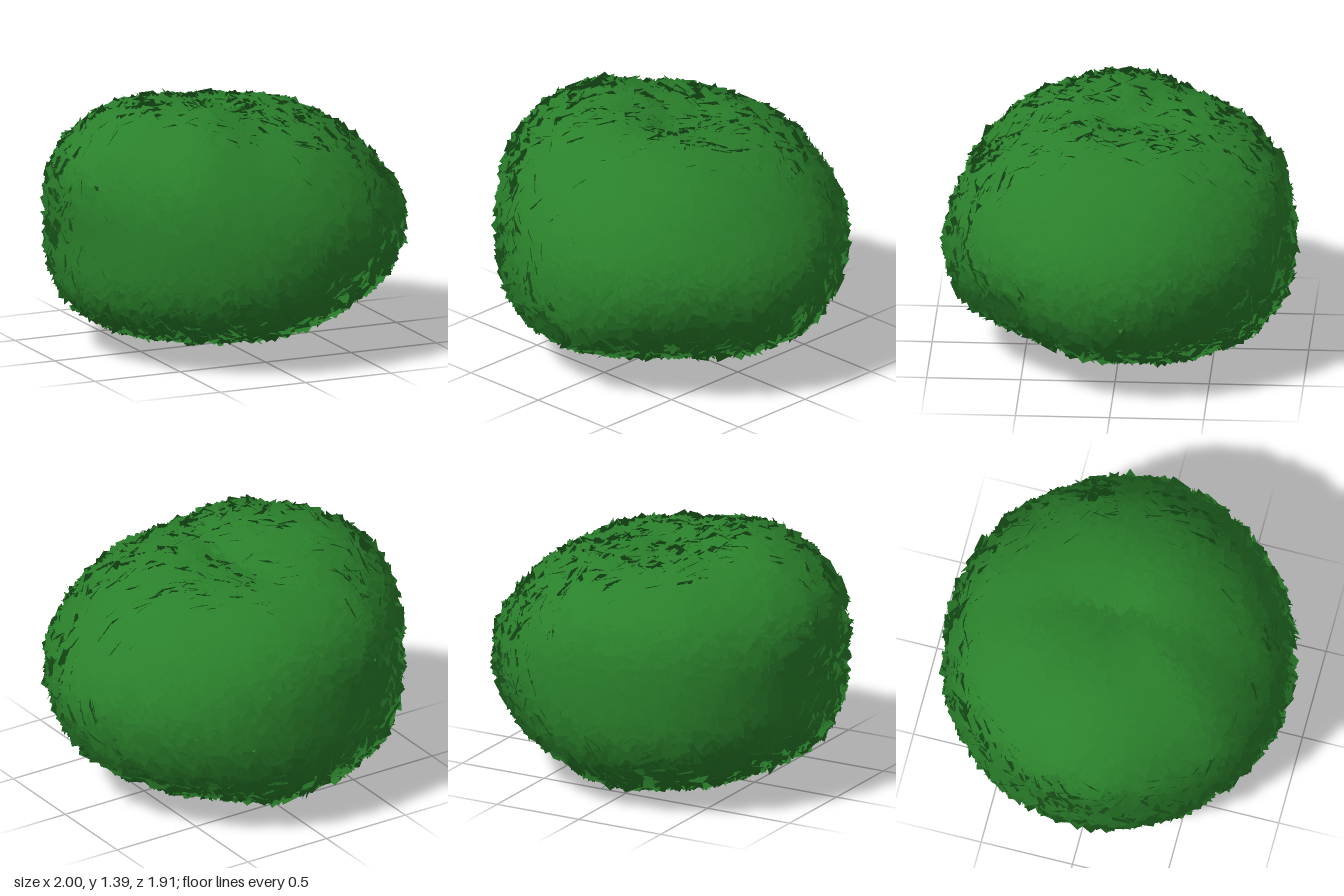
import * as THREE from 'three';

// small seeded generator
let seed = 7;
function rnd() {
  seed = (seed * 1664525 + 1013904223) % 4294967296;
  return seed / 4294967296;
}

// crown outline: radius from the crown centre, by elevation from -90 to 90 degrees,
// every 45 degrees around from left (+x) through front (+z)
const CENTRE = new THREE.Vector3(0, 0.7, 0);
const outline = [
  [0.60, 0.66, 0.76, 0.94, 0.98, 0.86, 0.75, 0.66, 0.58], // left
  [0.60, 0.63, 0.72, 0.86, 0.94, 0.86, 0.77, 0.68, 0.58], // front left
  [0.60, 0.62, 0.76, 0.93, 0.93, 0.86, 0.77, 0.69, 0.58], // front
  [0.60, 0.63, 0.78, 0.93, 0.93, 0.94, 0.87, 0.74, 0.58], // front right
  [0.60, 0.64, 0.80, 0.96, 0.95, 1.02, 0.92, 0.74, 0.58], // right
  [0.60, 0.68, 0.84, 0.97, 0.96, 0.96, 0.84, 0.68, 0.58], // back right
  [0.60, 0.70, 0.86, 0.95, 0.93, 0.92, 0.79, 0.63, 0.58], // back
  [0.60, 0.68, 0.80, 0.92, 0.95, 0.88, 0.77, 0.65, 0.58], // back left
].map((radii, i) => ({
  angle: (i * Math.PI) / 4,
  curve: new THREE.SplineCurve(radii.map((r, j) => new THREE.Vector2(j, r))),
}));

// point of the crown surface in a direction, blended between neighbouring outlines
function crownPoint(dir, inset = 0) {
  const azimuth = Math.atan2(dir.z, dir.x);
  const t = Math.asin(THREE.MathUtils.clamp(dir.y, -1, 1)) / Math.PI + 0.5;
  let r = -inset;
  for (const { angle, curve } of outline) {
    const away = Math.acos(THREE.MathUtils.clamp(Math.cos(azimuth - angle), -1, 1));
    if (away < Math.PI / 4) r += Math.cos(2 * away) ** 2 * curve.getPoint(t).y;
  }
  return dir.clone().multiplyScalar(r).add(CENTRE);
}

// surface normal from nearby points
function crownNormal(dir) {
  const helper = Math.abs(dir.y) < 0.9 ? new THREE.Vector3(0, 1, 0) : new THREE.Vector3(1, 0, 0);
  const u = helper.cross(dir).normalize();
  const v = dir.clone().cross(u);
  const near = (axis, s) => crownPoint(dir.clone().addScaledVector(axis, s).normalize());
  const du = near(u, 0.06).sub(near(u, -0.06));
  const dv = near(v, 0.06).sub(near(v, -0.06));
  return du.cross(dv).normalize();
}

// thousands of tilted leaf cards, shaded with the normal of the crown
function leafGeometry(count) {
  const positions = [], normals = [], index = [];
  const corners = [[-1, -1], [1, -1], [1, 1], [-1, 1]];
  const forward = new THREE.Vector3(0, 0, 1);
  const tilt = new THREE.Quaternion(), facing = new THREE.Quaternion();
  for (let i = 0; i < count; i++) {
    const y = 1 - (2 * (i + 0.5)) / count;
    const a = i * 2.399963 + rnd() * 0.3;
    const s = Math.sqrt(1 - y * y);
    const dir = new THREE.Vector3(Math.cos(a) * s, y, Math.sin(a) * s);
    const centre = crownPoint(dir, 0.03 + rnd() * 0.03);
    const n = crownNormal(dir);
    facing.setFromUnitVectors(forward, n);
    tilt.setFromEuler(new THREE.Euler((rnd() - 0.5) * 1.6, (rnd() - 0.5) * 1.6, rnd() * Math.PI * 2));
    facing.multiply(tilt);
    const w = 0.042 + rnd() * 0.018, h = 0.042 + rnd() * 0.018;
    const base = i * 4;
    for (const [cx, cy] of corners) {
      const p = new THREE.Vector3(cx * w, cy * h, 0).applyQuaternion(facing).add(centre);
      positions.push(p.x, p.y, p.z);
      normals.push(n.x, n.y, n.z);
    }
    index.push(base, base + 1, base + 2, base, base + 2, base + 3);
  }
  const geometry = new THREE.BufferGeometry();
  geometry.setAttribute('position', new THREE.Float32BufferAttribute(positions, 3));
  geometry.setAttribute('normal', new THREE.Float32BufferAttribute(normals, 3));
  geometry.setIndex(index);
  return geometry;
}

// tapered limb between two points
function limb(name, from, to, r0, r1, material) {
  const axis = to.clone().sub(from);
  const mesh = new THREE.Mesh(new THREE.CylinderGeometry(r1, r0, axis.length(), 6), material);
  mesh.name = name;
  mesh.position.copy(from).addScaledVector(axis, 0.5);
  mesh.quaternion.setFromUnitVectors(new THREE.Vector3(0, 1, 0), axis.normalize());
  return mesh;
}

export function createModel() {
  seed = 7;
  const model = new THREE.Group();
  model.name = 'bush';
  const leafMaterial = new THREE.MeshStandardMaterial({ color: 0x2a802b, side: THREE.DoubleSide });
  const barkMaterial = new THREE.MeshStandardMaterial({ color: 0x7a4018, flatShading: true });

  // foliage
  const leaves = new THREE.Mesh(leafGeometry(8000), leafMaterial);
  leaves.name = 'leaves';
  model.add(leaves);

  // stem and hidden branches
  const wood = new THREE.Group();
  wood.name = 'wood';
  const fork = new THREE.Vector3(0, 0.4, 0);
  wood.add(limb('stem', new THREE.Vector3(0, 0.035, 0), fork, 0.01, 0.008, barkMaterial));
  for (let i = 0; i < 7; i++) {
    const a = (i / 7) * Math.PI * 2;
    const tip = new THREE.Vector3(Math.cos(a) * 0.5, 0.8 + (i % 3) * 0.12, Math.sin(a) * 0.5);
    wood.add(limb('branch', fork, tip, 0.009, 0.004, barkMaterial));
  }
  model.add(wood);
  return model;
}
